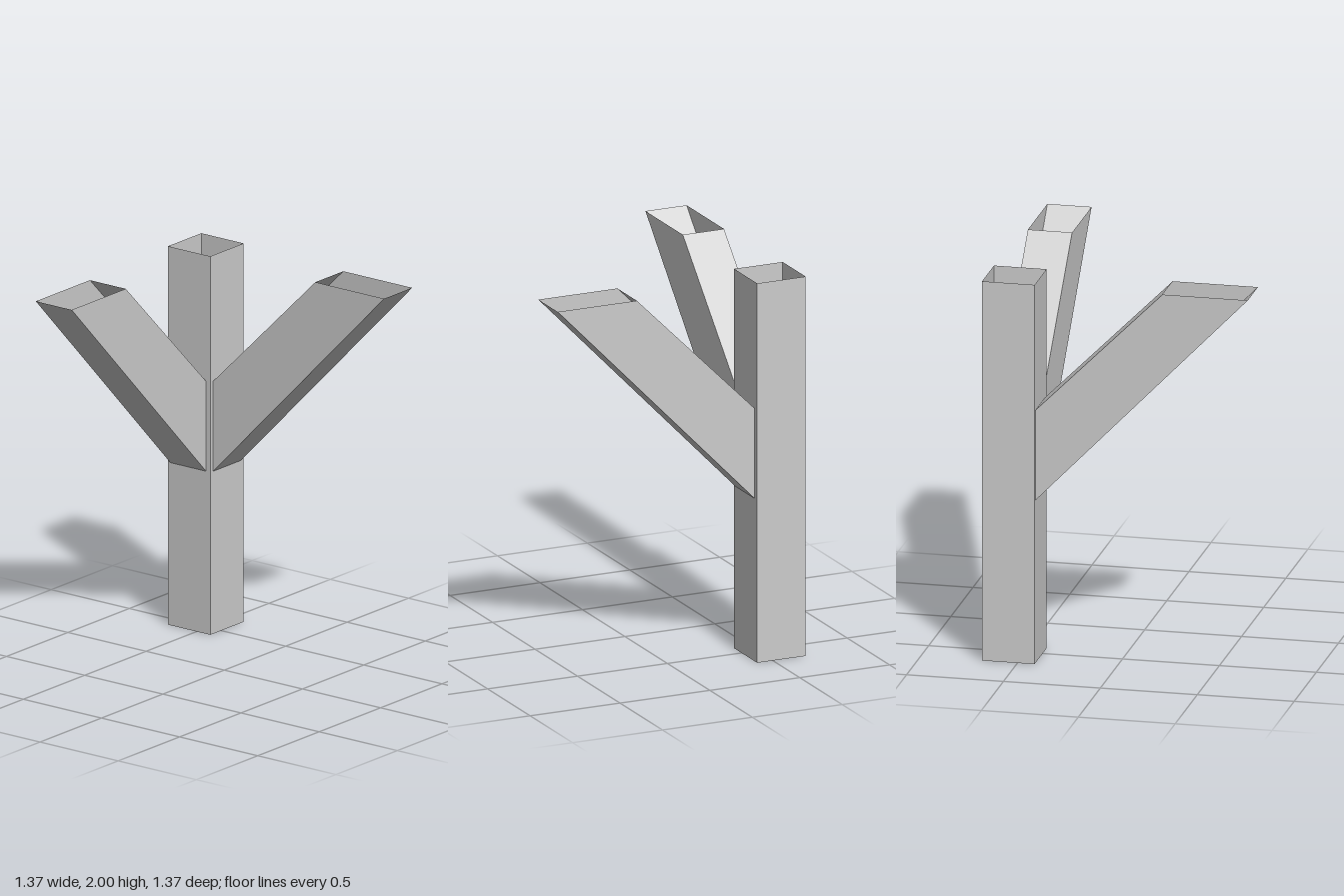
import * as THREE from 'three';

const material = new THREE.MeshStandardMaterial({ color: 0xcccccc, flatShading: true, side: THREE.DoubleSide });

// Open-ended square tube between two rings of four corners
// (rings run so that each wall faces outwards).
function openTube(name, start, end) {
  const positions = [];
  for (let i = 0; i < 4; i++) {
    const j = (i + 1) % 4;
    for (const p of [start[i], start[j], end[j], start[i], end[j], end[i]]) positions.push(...p);
  }
  const geometry = new THREE.BufferGeometry();
  geometry.setAttribute('position', new THREE.Float32BufferAttribute(positions, 3));
  geometry.computeVertexNormals();
  const mesh = new THREE.Mesh(geometry, material);
  mesh.name = name;
  return mesh;
}

// Brace: vertical cut against the post, horizontal cut at the top.
// place(along, y, across) puts a corner in the model.
function brace(name, a, b, place) {
  const foot = [[0.41, 0.86, a], [0.41, 0.86, b], [0.41, 1.335, b], [0.41, 1.335, a]];
  const top = [[-0.685, 1.99, a], [-0.685, 1.99, b], [-0.245, 1.99, b], [-0.245, 1.99, a]];
  return openTube(name, foot.map((p) => place(...p)), top.map((p) => place(...p)));
}

export function createModel() {
  const group = new THREE.Group();
  group.name = 'bracedPost';

  // Upright post
  const ring = (y) => [[0.412, y, -0.413], [0.683, y, -0.413], [0.683, y, -0.683], [0.412, y, -0.683]];
  group.add(openTube('post', ring(0), ring(2)));

  // Two braces at right angles
  group.add(brace('sideBrace', -0.667, -0.438, (u, y, v) => [u, y, v]));
  group.add(brace('frontBrace', 0.658, 0.43, (u, y, v) => [v, y, -u]));
  return group;
}
